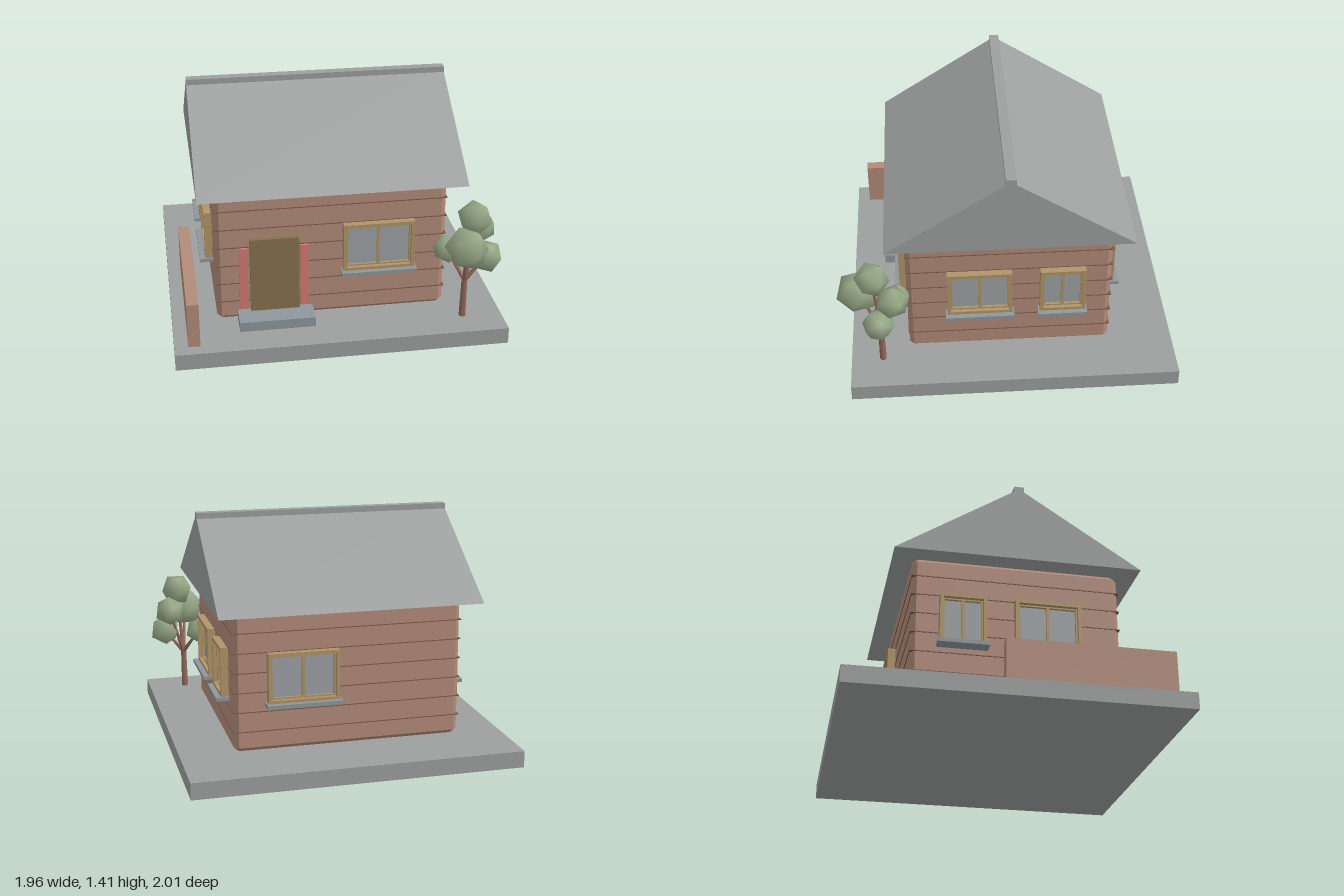
import * as THREE from 'three';
import { mergeVertices } from 'three/addons/utils/BufferGeometryUtils.js';

const mat = (name, color) => new THREE.MeshStandardMaterial({ name, color });

export function createModel() {
  const M = {
    stone: mat('grey stone', 0x9c9f9e),
    wall: mat('clay timber', 0xb28b79),
    seam: mat('dark seam', 0x7a5a4c),
    frame: mat('tan wood', 0xb09468),
    glass: mat('grey glass', 0x9da2a4),
    sill: mat('slate', 0x8e979c),
    door: mat('olive brown', 0x84704f),
    shutter: mat('coral red', 0xd57872),
    leaf: mat('sage green', 0x96a886),
    bark: mat('bark', 0x92695a),
  };
  const model = new THREE.Group();
  model.name = 'cottage';

  const add = (parent, name, geometry, material) => {
    const mesh = new THREE.Mesh(geometry, material);
    mesh.name = name;
    parent.add(mesh);
    return mesh;
  };
  // Box given by its lower and upper corners
  const box = (parent, name, material, x0, x1, y0, y1, z0, z1) => {
    const m = add(parent, name, new THREE.BoxGeometry(x1 - x0, y1 - y0, z1 - z0), material);
    m.position.set((x0 + x1) / 2, (y0 + y1) / 2, (z0 + z1) / 2);
    return m;
  };

  // Ground slab, garden wall and doorstep
  box(model, 'groundSlab', M.stone, -0.98, 0.98, 0, 0.1, -1, 0.96);
  box(model, 'gardenWall', M.wall, -0.9, -0.83, 0.1, 0.375, -0.1, 0.88);
  box(model, 'doorstep', M.sill, -0.59, -0.14, 0.1, 0.16, 0.6, 0.764);

  // House body: chamfered on every edge
  const X0 = -0.71, X1 = 0.66, Z = 0.607, c = 0.025;
  const cx = (X0 + X1) / 2, hx = (X1 - X0) / 2 - c, hz = Z - c, k = 0.012;
  const plan = new THREE.Shape([
    [-hx + k, -hz], [hx - k, -hz], [hx, -hz + k], [hx, hz - k],
    [hx - k, hz], [-hx + k, hz], [-hx, hz - k], [-hx, -hz + k],
  ].map(([x, y]) => new THREE.Vector2(x, y)));
  const body = new THREE.ExtrudeGeometry(plan, {
    depth: 0.83 - 2 * c, bevelEnabled: true, bevelSegments: 1, bevelSize: c, bevelThickness: c,
  });
  body.rotateX(-Math.PI / 2);
  add(model, 'houseWalls', body, M.wall).position.set(cx, 0.1 + c, 0);

  // Thin seams between the boards
  for (let i = 0; i < 6; i++) {
    const y = 0.222 + i * 0.118, o = 0.004;
    box(model, 'boardSeam', M.seam, X0 - o, X1 + o, y - 0.0025, y + 0.0025, -Z - o, Z + o);
  }

  // Roof prism and ridge cap
  const gable = new THREE.Shape([
    new THREE.Vector2(-0.725, 0.93), new THREE.Vector2(0.725, 0.93), new THREE.Vector2(0, 1.4),
  ]);
  const roof = new THREE.ExtrudeGeometry(gable, { depth: 1.57, bevelEnabled: false });
  roof.rotateY(Math.PI / 2);
  add(model, 'roof', roof, M.stone).position.x = -0.81;
  box(model, 'ridgeCap', M.stone, -0.81, 0.76, 1.375, 1.415, -0.03, 0.03);

  // Window facing +z, centred on its own x, with its back on the wall
  const ringGeo = (w, h, t, depth) => {
    const rect = (C, a, b) => new C([
      new THREE.Vector2(-a, -b), new THREE.Vector2(a, -b),
      new THREE.Vector2(a, b), new THREE.Vector2(-a, b),
    ]);
    const s = rect(THREE.Shape, w / 2, h / 2);
    s.holes.push(rect(THREE.Path, w / 2 - t, h / 2 - t));
    return new THREE.ExtrudeGeometry(s, { depth, bevelEnabled: false });
  };
  const addWindow = (w, x, z, turn) => {
    const g = new THREE.Group();
    g.name = 'window';
    const h = 0.3, y = 0.543;
    add(g, 'windowFrame', ringGeo(w, h, 0.02, 0.048), M.frame).position.y = y;
    add(g, 'windowSash', ringGeo(w - 0.035, h - 0.035, 0.012, 0.025), M.frame).position.y = y;
    box(g, 'mullion', M.frame, -0.009, 0.009, y - h / 2 + 0.025, y + h / 2 - 0.025, 0, 0.025);
    box(g, 'windowPane', M.glass, -w / 2 + 0.02, w / 2 - 0.02, y - h / 2 + 0.02, y + h / 2 - 0.02, 0, 0.009);
    box(g, 'windowSill', M.sill, -w / 2 - 0.012, w / 2 + 0.012, 0.373, 0.395, -0.01, 0.08);
    g.position.set(x, 0, z);
    g.rotation.y = turn;
    model.add(g);
  };
  addWindow(0.425, 0.253, Z, 0);
  addWindow(0.425, 0.253, -Z, Math.PI);
  for (const [x, turn] of [[X1, Math.PI / 2], [X0, -Math.PI / 2]]) {
    addWindow(0.385, x, 0.178, turn);
    addWindow(0.27, x, -0.315, turn);
  }

  // Door with a narrow panel at each side
  box(model, 'door', M.door, -0.51, -0.22, 0.16, 0.63, 0.6, 0.635);
  for (const x of [-0.55, -0.187]) {
    box(model, 'doorSidePanel', M.shutter, x - 0.025, x + 0.025, 0.18, 0.572, 0.6, 0.625);
  }

  // Tree: trunk, branches and faceted leaf clumps
  const tree = new THREE.Group();
  tree.name = 'tree';
  model.add(tree);
  const limb = (name, a, b, r0, r1) => {
    const d = b.clone().sub(a);
    const m = add(tree, name, new THREE.CylinderGeometry(r1, r0, d.length(), 7), M.bark);
    m.position.copy(a).addScaledVector(d, 0.5);
    m.quaternion.setFromUnitVectors(new THREE.Vector3(0, 1, 0), d.normalize());
  };
  const fork = new THREE.Vector3(0.748, 0.34, 0.77);
  limb('trunk', new THREE.Vector3(0.745, 0.1, 0.77), fork, 0.021, 0.018);
  const clumps = [
    [0.78, 0.765, 0.8, 0.105], [0.715, 0.62, 0.89, 0.13], [0.87, 0.495, 0.775, 0.1],
    [0.845, 0.645, 0.69, 0.1], [0.655, 0.505, 0.67, 0.088],
  ];
  clumps.forEach(([x, y, z, r], i) => {
    const p = new THREE.Vector3(x, y, z);
    limb('branch', fork, p, 0.014, 0.006);
    let geo = new THREE.IcosahedronGeometry(r, 0);
    geo.deleteAttribute('normal');
    geo.deleteAttribute('uv');
    geo = mergeVertices(geo);
    geo.rotateX(i * 1.3 + 0.4).rotateY(i * 0.9);
    geo.computeVertexNormals();
    add(tree, 'leafClump', geo, M.leaf).position.copy(p);
  });

  return model;
}
